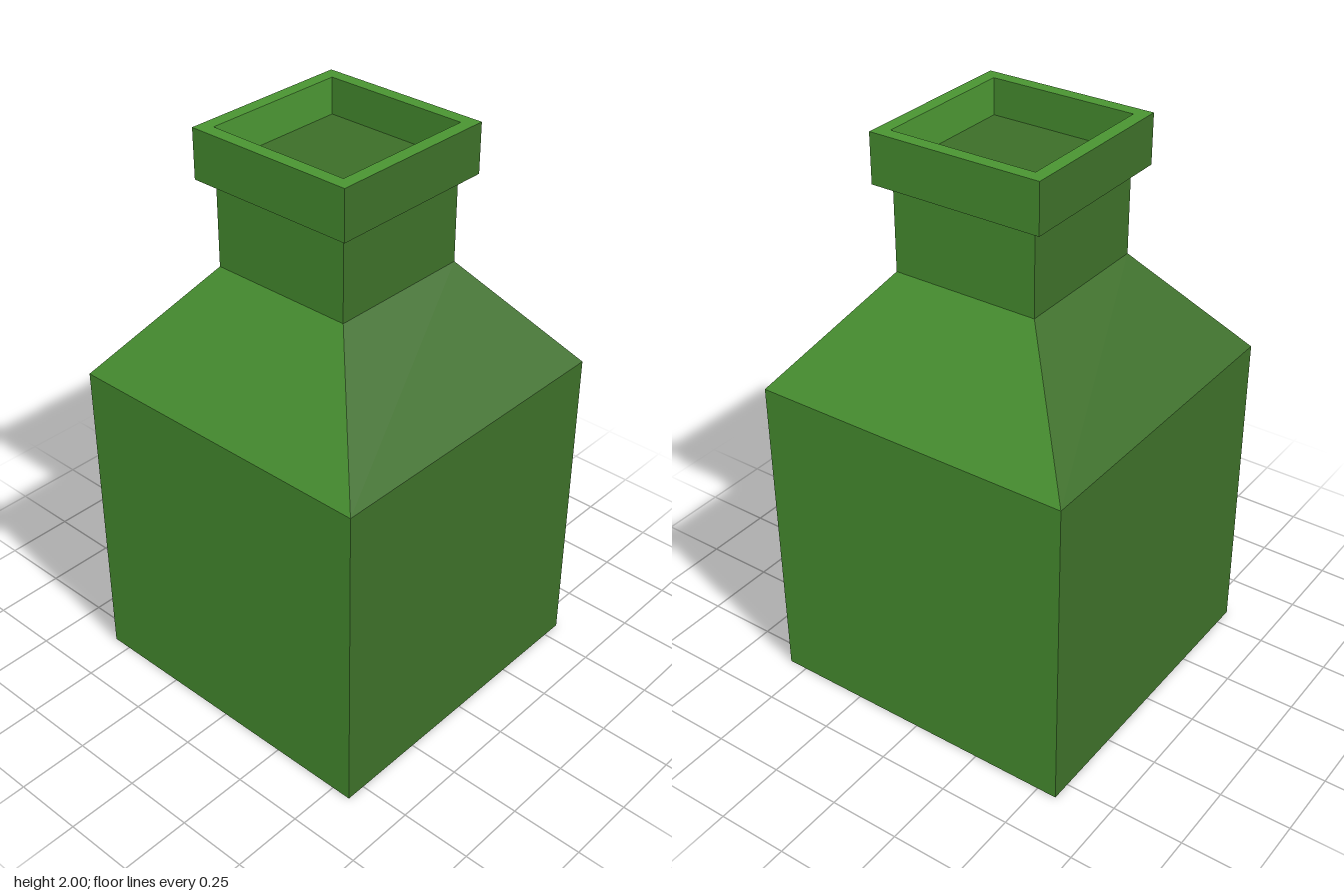
import * as THREE from 'three';

const lightGreen = new THREE.MeshStandardMaterial({ color: 0x4a9432 });
lightGreen.name = 'light green';
const darkGreen = new THREE.MeshStandardMaterial({ color: 0x3c6e28 });
darkGreen.name = 'dark green';

// Four flat walls between two squares [half width, height].
// Walls facing front and back use material 0, walls facing sideways material 1.
function squareBand([r0, y0], [r1, y1]) {
  const corners = [[-1, 1], [1, 1], [1, -1], [-1, -1]];
  const positions = [];
  const geometry = new THREE.BufferGeometry();
  for (let i = 0; i < 4; i++) {
    const [ax, az] = corners[i];
    const [bx, bz] = corners[(i + 1) % 4];
    const a = [ax * r0, y0, az * r0], b = [bx * r0, y0, bz * r0];
    const c = [bx * r1, y1, bz * r1], d = [ax * r1, y1, az * r1];
    positions.push(...a, ...b, ...c, ...a, ...c, ...d);
    geometry.addGroup(i * 6, 6, i % 2);
  }
  geometry.setAttribute('position', new THREE.Float32BufferAttribute(positions, 3));
  geometry.computeVertexNormals();
  return geometry;
}

export function createModel() {
  const bottle = new THREE.Group();
  bottle.name = 'squareBottle';

  const addBand = (name, from, to, sideMaterial = darkGreen) => {
    const mesh = new THREE.Mesh(squareBand(from, to), [lightGreen, sideMaterial]);
    mesh.name = name;
    bottle.add(mesh);
  };
  const addPlate = (name, half, y, direction, material) => {
    const mesh = new THREE.Mesh(new THREE.PlaneGeometry(half * 2, half * 2), material);
    mesh.name = name;
    mesh.rotation.x = -direction * Math.PI / 2;
    mesh.position.y = y;
    bottle.add(mesh);
  };

  // Body, shoulder and neck
  addPlate('base', 0.57, 0, -1, lightGreen);
  addBand('body', [0.57, 0], [0.57, 1.145]);
  addBand('shoulder', [0.57, 1.145], [0.26, 1.53]);
  addBand('neck', [0.26, 1.53], [0.26, 1.83]);

  // Collar around the mouth
  addBand('collarUnderside', [0.26, 1.83], [0.305, 1.83], lightGreen);
  addBand('collar', [0.305, 1.83], [0.305, 2]);
  addBand('collarTop', [0.305, 2], [0.26, 2], lightGreen);

  // Shallow recess inside the mouth
  addBand('mouthWall', [0.26, 2], [0.26, 1.875], lightGreen);
  addPlate('mouthFloor', 0.26, 1.875, 1, darkGreen);

  return bottle;
}
